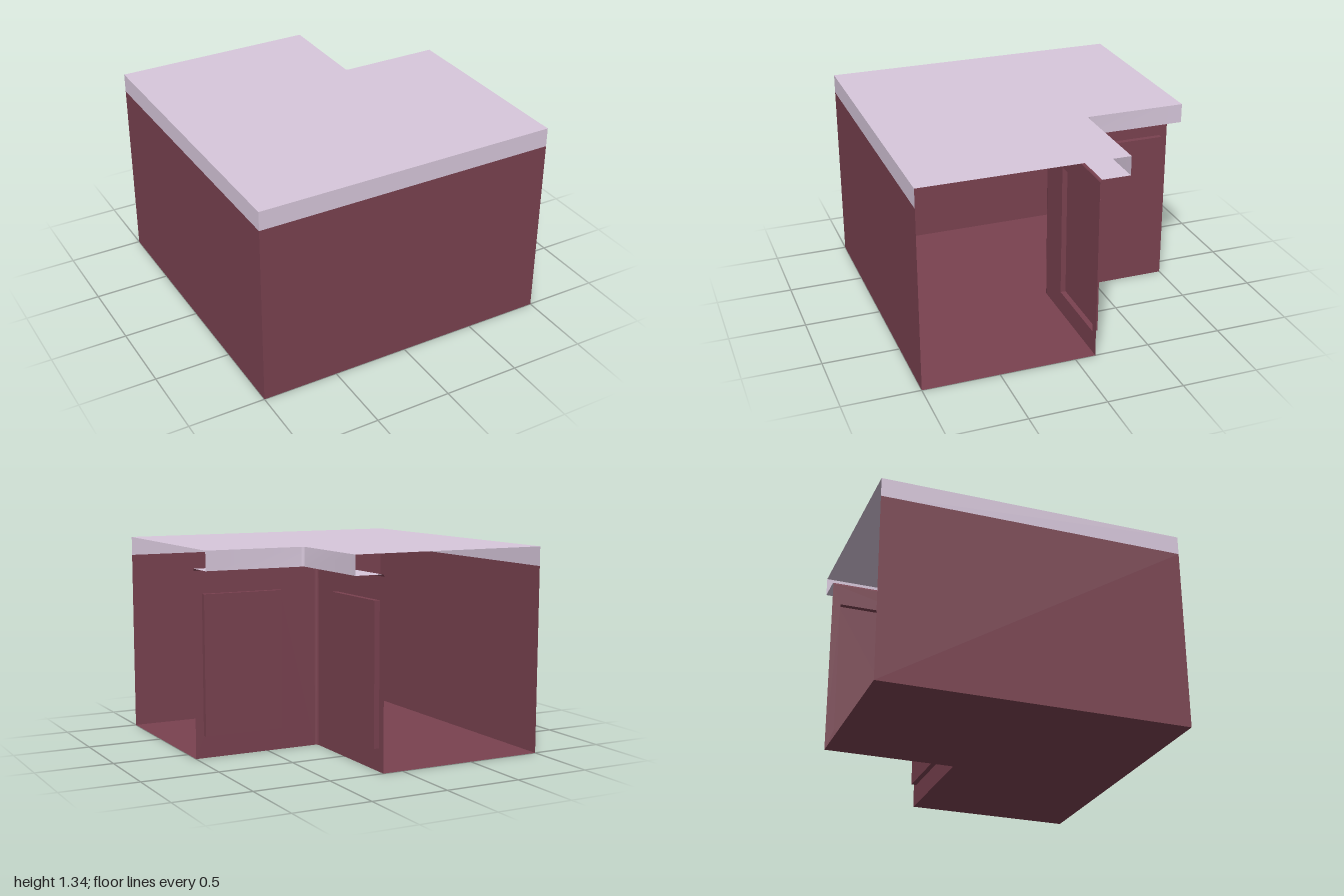
import * as THREE from 'three';
import { toCreasedNormals } from 'three/addons/utils/BufferGeometryUtils.js';

const HEIGHT = 1.335, BODY = 1.21, DOOR = 0.135, LIP = 0.333, FILLET = 0.02;

const paint = new THREE.MeshStandardMaterial({ color: 0x7a4250, side: THREE.DoubleSide });
paint.name = 'maroonPaint';
const stone = new THREE.MeshStandardMaterial({ color: 0xd8c8dc, side: THREE.DoubleSide });
stone.name = 'paleStone';

function part(name, geometry, material) {
  const mesh = new THREE.Mesh(geometry, material);
  mesh.name = name;
  return mesh;
}

// Inner corner path at offset d, as [x, z], with a filleted corner
function notchPath(d) {
  const pts = [[1, -d]];
  for (let i = 0; i <= 4; i++) {
    const a = Math.PI / 2 * (1 + i / 4);
    pts.push([d + FILLET + FILLET * Math.cos(a), -d - FILLET + FILLET * Math.sin(a)]);
  }
  pts.push([d, -1]);
  return pts;
}

// Flat L-shaped sheet; side = -1 faces up, 1 faces down
function slab(d, y, side) {
  const outline = [...notchPath(d), [-1, -1], [-1, 1], [1, 1]];
  const shape = new THREE.Shape(outline.map(([x, z]) => new THREE.Vector2(x, z * side)));
  return new THREE.ShapeGeometry(shape).rotateX(side * Math.PI / 2).translate(0, y, 0);
}

// Sweeps an [offset, y] profile along the inner corner
function notchLoft(profile, from = 0, to = 6) {
  const pos = [], index = [], n = to - from + 1;
  for (const [d, y] of profile) {
    for (const [x, z] of notchPath(d).slice(from, to + 1)) pos.push(x, y, z);
  }
  for (let j = 0; j < profile.length - 1; j++) {
    for (let i = 0; i < n - 1; i++) {
      const a = j * n + i, b = a + 1, c = b + n, e = a + n;
      index.push(a, b, c, a, c, e);
    }
  }
  const g = new THREE.BufferGeometry();
  g.setAttribute('position', new THREE.Float32BufferAttribute(pos, 3));
  g.setIndex(index);
  return toCreasedNormals(g, 0.8);
}

function rect(path, u0, u1, y0, y1) {
  path.moveTo(u0, y0).lineTo(u1, y0).lineTo(u1, y1).lineTo(u0, y1).closePath();
  return path;
}

// Door sheet with a hollow raised panel; s mirrors it for the other wing
function door(name, s) {
  const group = new THREE.Group();
  group.name = name;
  const u0 = 0.41, u1 = 0.945, y0 = 0.145, y1 = 1.05, depth = 0.035;
  const frame = rect(new THREE.Shape(), s * (DOOR + FILLET), s, 0, 1.195);
  frame.holes.push(rect(new THREE.Path(), s * u0, s * u1, y0, y1));
  group.add(part('doorFrame', new THREE.ShapeGeometry(frame).translate(0, 0, DOOR), paint));

  const panel = new THREE.BoxGeometry(u1 - u0, y1 - y0, depth);
  panel.setIndex(Array.from(panel.index.array).slice(0, 30)); // open back
  panel.clearGroups();
  panel.translate(s * (u0 + u1) / 2, (y0 + y1) / 2, DOOR + depth / 2);
  group.add(part('raisedPanel', panel, paint));
  group.rotation.y = s > 0 ? Math.PI / 2 : Math.PI;
  return group;
}

// The two outer sides: front and the closed end
function outerSides(group, name, y0, y1, material) {
  const make = () => new THREE.PlaneGeometry(2, y1 - y0).translate(0, (y0 + y1) / 2, 1);
  group.add(part(name + 'Front', make(), material));
  group.add(part(name + 'Side', make().rotateY(-Math.PI / 2), material));
}

export function createModel() {
  const model = new THREE.Group();
  model.name = 'cornerCabinet';

  // Cabinet body
  const cabinet = new THREE.Group();
  cabinet.name = 'cabinet';
  cabinet.add(part('floor', slab(DOOR, 0, 1), paint));
  outerSides(cabinet, 'wall', 0, BODY, paint);
  cabinet.add(door('sideDoor', 1), door('backDoor', -1));
  cabinet.add(part('doorCorner', notchLoft([[DOOR, 0], [DOOR, 1.195]], 1, 5), paint));
  cabinet.add(part('doorTopFillet', notchLoft([[DOOR, 1.195], [0.139, 1.205], [0.147, BODY]]), paint));

  // Worktop with an overhanging lip, open at both ends
  const worktop = new THREE.Group();
  worktop.name = 'worktop';
  worktop.add(part('topSurface', slab(LIP, HEIGHT, -1), stone));
  outerSides(worktop, 'edge', BODY, HEIGHT, stone);
  worktop.add(part('overhang', notchLoft([[0.147, BODY], [LIP, BODY], [LIP, HEIGHT]]), stone));

  model.add(cabinet, worktop);
  return model;
}
